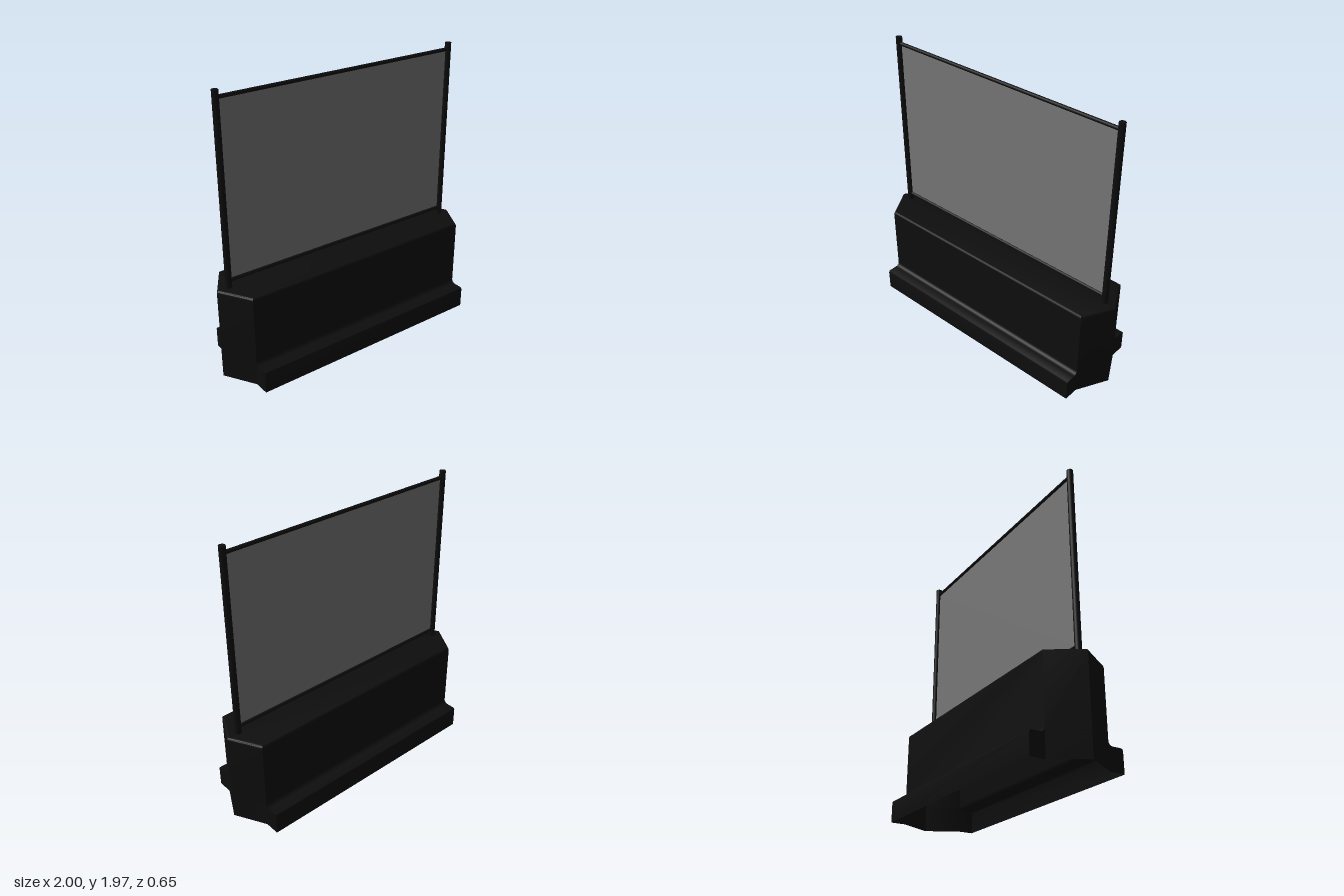
import * as THREE from 'three';
import { toCreasedNormals } from 'three/addons/utils/BufferGeometryUtils.js';

const dark = new THREE.MeshStandardMaterial({ color: 0x0d0d0d });
const darkShell = new THREE.MeshStandardMaterial({ color: 0x0d0d0d, side: THREE.DoubleSide });
const grey = new THREE.MeshStandardMaterial({ color: 0x777777, side: THREE.DoubleSide });

const WALL = 0.22; // half depth of the upper wall
const FOOT = 0.324; // half depth of the foot

// Plan outline at one height: pointed ends, foot reaching out to z = foot
function outline(y, foot, inset) {
  const w = WALL - inset, f = Math.max(foot, w);
  const l = -0.865 + inset, r = 0.885 - inset, tip = 1 - inset;
  return [
    [tip, 0], [r, -w], [r, -f], [l, -f], [l, -w],
    [-tip, 0], [l, w], [l, f], [r, f], [r, w],
  ].map(([x, z]) => [x, y, z]);
}

// Hollow barrier shell, open underneath, lofted through outlines
function barrierGeometry() {
  const rings = [
    outline(0, FOOT, 0),
    outline(0.14, FOOT, 0),
    outline(0.15, FOOT - 0.004, 0),
    outline(0.154, FOOT - 0.014, 0),
  ];
  // Concave fillet between foot and wall
  for (let i = 0; i <= 5; i++) {
    const a = (i / 5) * Math.PI / 2, rad = 0.03;
    rings.push(outline(0.154 + rad * (1 - Math.cos(a)), WALL + rad * (1 - Math.sin(a)), 0));
  }
  // Rounded top edge
  for (let i = 0; i <= 4; i++) {
    const a = (i / 4) * Math.PI / 2, rad = 0.016;
    rings.push(outline(0.66 - rad + rad * Math.sin(a), 0, rad * (1 - Math.cos(a))));
  }
  const n = rings[0].length, index = [];
  for (let j = 0; j < rings.length - 1; j++) {
    for (let i = 0; i < n; i++) {
      const a = j * n + i, b = j * n + (i + 1) % n;
      index.push(a, b, b + n, a, b + n, a + n);
    }
  }
  // Flat top
  const t = (rings.length - 1) * n;
  for (let i = 1; i < n - 1; i++) index.push(t, t + i, t + i + 1);

  const g = new THREE.BufferGeometry();
  g.setAttribute('position', new THREE.Float32BufferAttribute(rings.flat(2), 3));
  g.setIndex(index);
  return toCreasedNormals(g, 0.5);
}

export function createModel() {
  const model = new THREE.Group();
  const add = (name, geometry, material, x, y) => {
    const mesh = new THREE.Mesh(geometry, material);
    mesh.name = name;
    mesh.position.set(x, y, 0);
    model.add(mesh);
    return mesh;
  };

  add('barrierBase', barrierGeometry(), darkShell, 0, 0);

  // Upright posts
  const bottom = 0.64, top = 1.974;
  for (const [name, x] of [['leftPost', 0.91], ['rightPost', -0.912]]) {
    add(name, new THREE.CylinderGeometry(0.022, 0.022, top - bottom, 20), dark, x, (top + bottom) / 2);
  }

  // Horizontal rails
  for (const [name, y] of [['topRail', 1.927], ['bottomRail', 0.71]]) {
    const rail = add(name, new THREE.CylinderGeometry(0.013, 0.013, 1.81, 16), dark, 0, y);
    rail.rotation.z = Math.PI / 2;
  }

  // Mesh screen stretched between the rails
  add('screenPanel', new THREE.PlaneGeometry(1.8, 1.217), grey, 0, 1.3185);

  return model;
}
